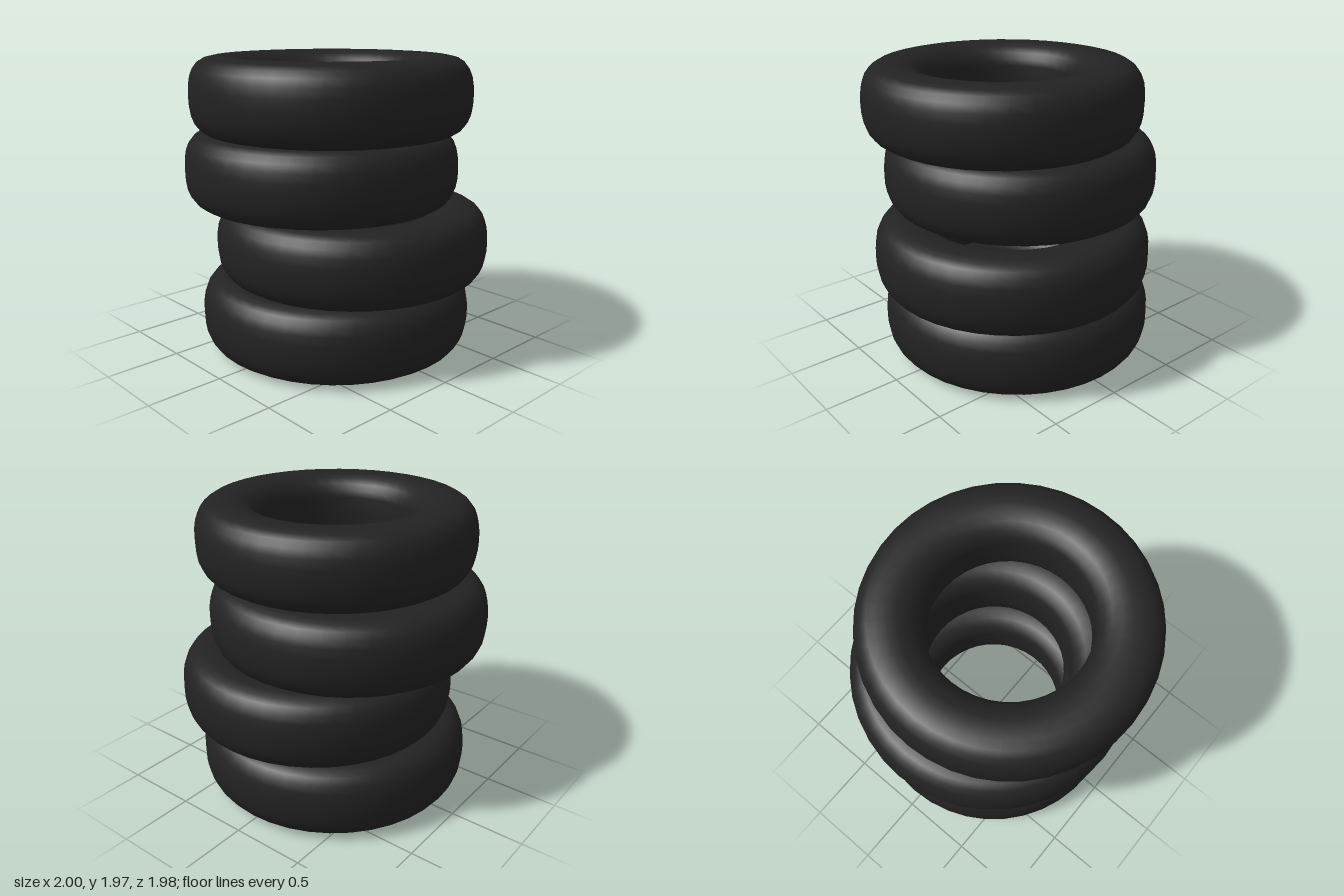
import * as THREE from 'three';

const HALF_HEIGHT = 0.248;
const PITCH = 0.492;

// Upper half of the tyre cross-section, from tread middle to bore middle: [radius, height]
const upperHalf = [
  [0.916, 0], [0.914, 0.06], [0.904, 0.12], [0.885, 0.168], [0.855, 0.207],
  [0.815, 0.232], [0.76, 0.244], [0.7, 0.248], [0.64, 0.241], [0.585, 0.222],
  [0.54, 0.188], [0.513, 0.145], [0.504, 0.1], [0.503, 0],
];

// Closed section, starting at the bore and running down, out, up and back in
function tyreGeometry() {
  const lower = upperHalf.slice(1).reverse().map(([r, y]) => new THREE.Vector2(r, -y));
  const upper = upperHalf.map(([r, y]) => new THREE.Vector2(r, y));
  return new THREE.LatheGeometry([...lower, ...upper], 40);
}

export function createModel() {
  const model = new THREE.Group();
  model.name = 'tyreStack';
  const rubber = new THREE.MeshStandardMaterial({ color: 0x222222 });
  rubber.name = 'black rubber';
  const geometry = tyreGeometry();

  // Horizontal offsets of the tyres, bottom to top: [x, z]
  const offsets = [[-0.01, -0.01], [0.084, -0.075], [-0.086, 0.048], [0.036, 0.076]];
  offsets.forEach(([x, z], i) => {
    const tyre = new THREE.Mesh(geometry, rubber);
    tyre.name = `tyre${i + 1}`;
    tyre.position.set(x, HALF_HEIGHT + i * PITCH, z);
    model.add(tyre);
  });
  return model;
}
